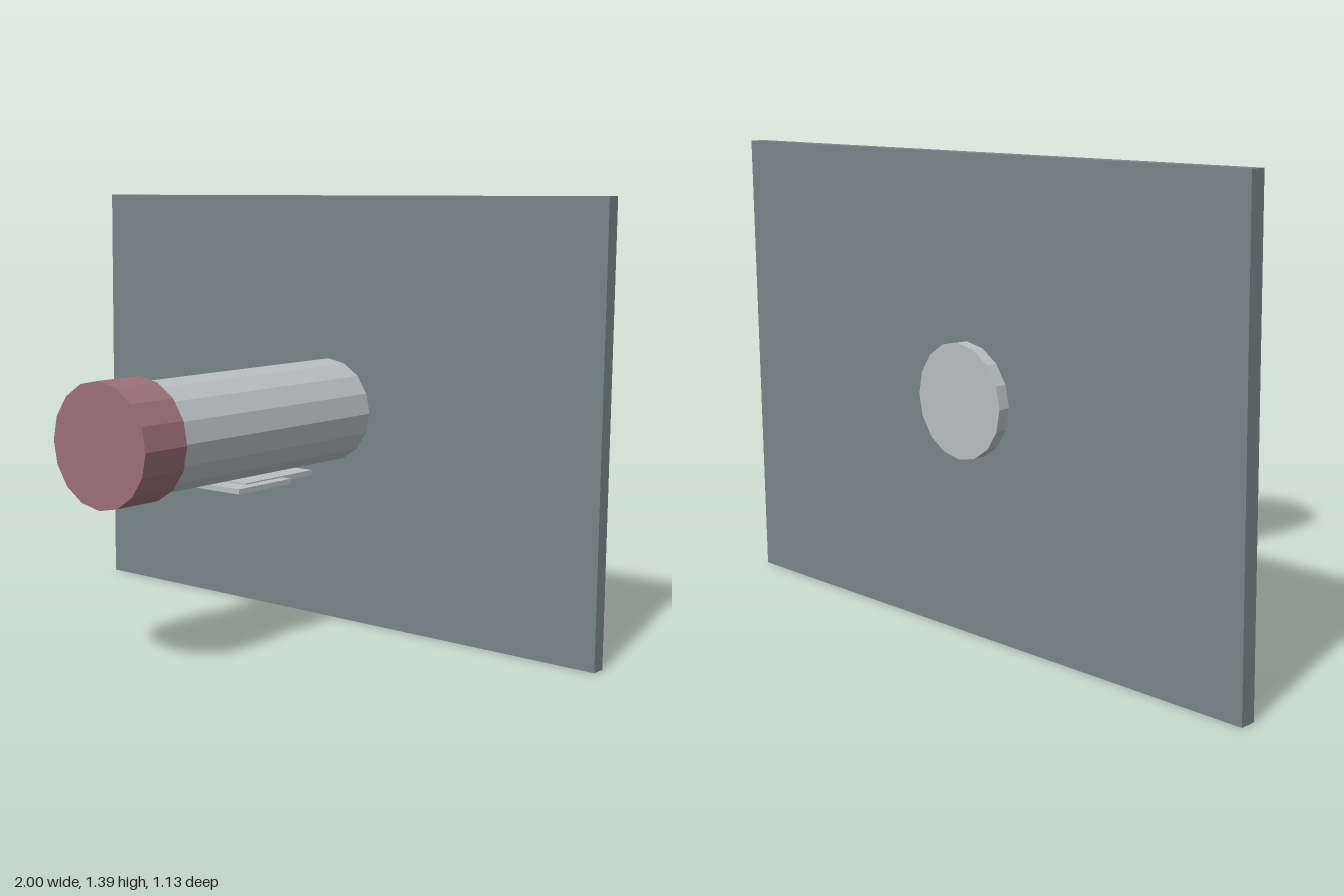
import * as THREE from 'three';

const material = (name, color) => {
  const m = new THREE.MeshStandardMaterial({ color, flatShading: true });
  m.name = name;
  return m;
};

export function createModel() {
  const group = new THREE.Group();
  const slate = material('slate grey', 0x778688);
  const steel = material('pale steel', 0xb8c0c2);
  const rose = material('dusty rose', 0x9c7078);
  const axisY = 0.695;

  const add = (name, geometry, mat, x, y, z) => {
    const mesh = new THREE.Mesh(geometry, mat);
    mesh.name = name;
    mesh.position.set(x, y, z);
    group.add(mesh);
  };
  // Box from its ranges along each axis
  const box = (name, mat, [x0, x1], [y0, y1], [z0, z1]) =>
    add(name, new THREE.BoxGeometry(x1 - x0, y1 - y0, z1 - z0), mat,
      (x0 + x1) / 2, (y0 + y1) / 2, (z0 + z1) / 2);
  // Sixteen-sided cylinder lying along z
  const tube = (name, mat, radius, z0, z1) =>
    add(name, new THREE.CylinderGeometry(radius, radius, z1 - z0, 16).rotateX(Math.PI / 2), mat,
      0, axisY, (z0 + z1) / 2);

  // Upright panel pierced by the barrel
  box('panel', slate, [-1, 1], [0, 1.39], [-0.528, -0.48]);

  // Barrel and its wider end cap
  tube('barrel', steel, 0.168, -0.564, 0.397);
  tube('endCap', rose, 0.185, 0.397, 0.564);

  // Two overlapping thin plates under the barrel
  box('lowerPlate', steel, [-0.137, 0.135], [0.511, 0.527], [-0.125, 0.118]);
  box('rearPlate', steel, [-0.1, 0.1], [0.515, 0.531], [-0.272, 0.05]);

  return group;
}
